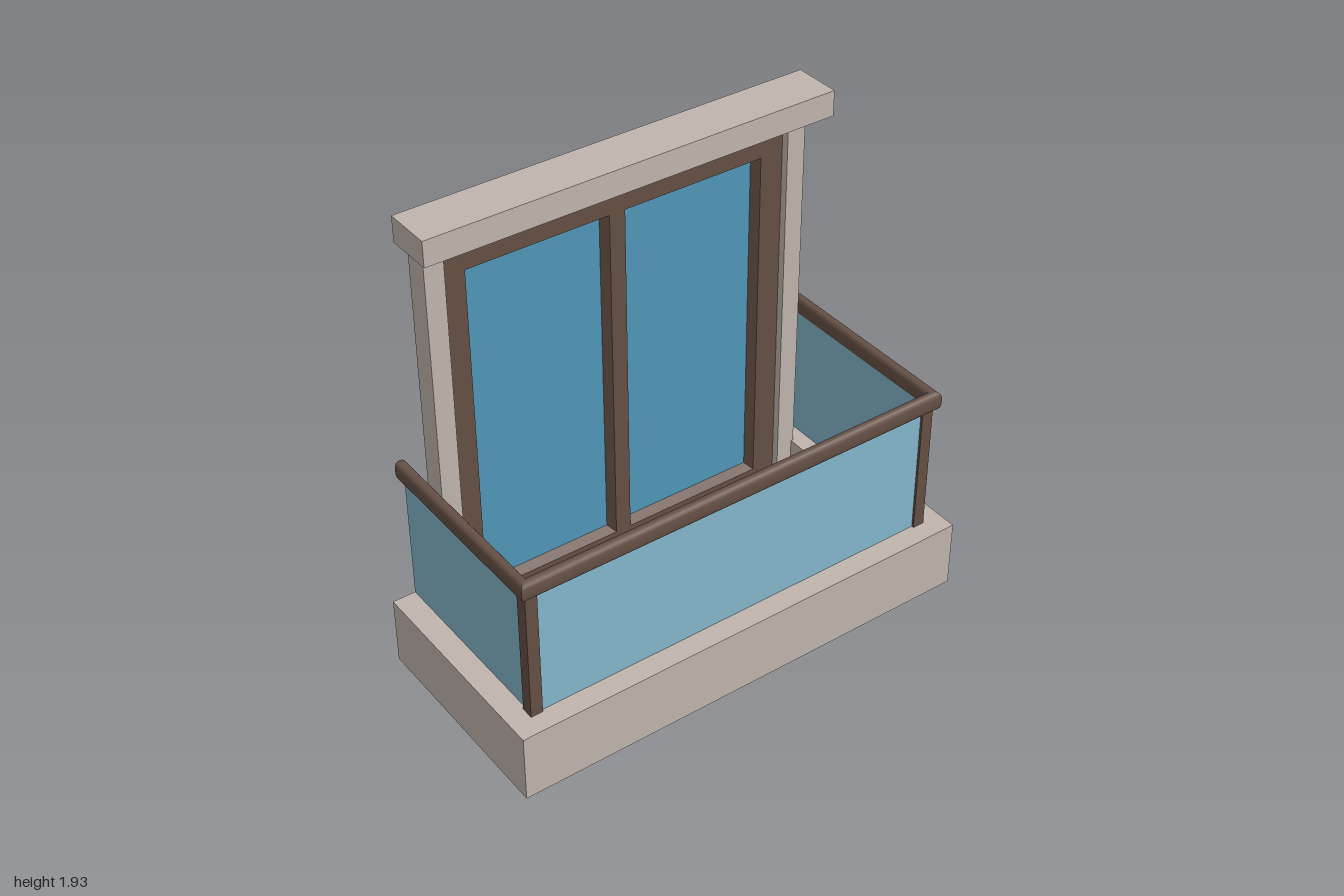
import * as THREE from 'three';

const mat = (name, color) => {
  const m = new THREE.MeshStandardMaterial({ color, side: THREE.DoubleSide });
  m.name = name;
  return m;
};

export function createModel() {
  const stone = mat('warm stone', 0xc0b5ad);
  const wood = mat('dark brown frame', 0x655045);
  const pane = mat('window blue', 0x4f96b7);
  const clear = mat('balustrade pale blue', 0x84b7cb);
  const model = new THREE.Group();
  model.name = 'balcony';

  const add = (name, geometry, material) => {
    const mesh = new THREE.Mesh(geometry, material);
    mesh.name = name;
    model.add(mesh);
    return mesh;
  };

  // Box between two corners; drop lists the open sides (px, nx, py, ny, pz, nz)
  const sides = ['px', 'nx', 'py', 'ny', 'pz', 'nz'];
  const box = (name, material, [x0, y0, z0], [x1, y1, z1], drop = []) => {
    const g = new THREE.BoxGeometry(x1 - x0, y1 - y0, z1 - z0);
    const index = Array.from(g.index.array);
    g.setIndex(index.filter((_, i) => !drop.includes(sides[Math.floor(i / 6)])));
    g.clearGroups();
    g.translate((x0 + x1) / 2, (y0 + y1) / 2, (z0 + z1) / 2);
    return add(name, g, material);
  };

  const outline = (points) => new THREE.Shape(points.map(([x, y]) => new THREE.Vector2(x, y)));
  const rect = (x0, y0, x1, y1) => [[x0, y0], [x1, y0], [x1, y1], [x0, y1]];

  // Skin between two closed rings of points
  const loft = (a, b, smooth) => {
    const n = a.length, index = [];
    for (let i = 0; i < n; i++) {
      const j = (i + 1) % n;
      index.push(i, j, n + j, i, n + j, n + i);
    }
    let g = new THREE.BufferGeometry();
    g.setAttribute('position', new THREE.Float32BufferAttribute([...a, ...b].flat(), 3));
    g.setIndex(index);
    if (!smooth) g = g.toNonIndexed();
    g.computeVertexNormals();
    return g;
  };

  const back = -0.45, floorY = 0.08, slabTop = 0.29;

  // Hollow slab, open to the building, with a sunken floor
  box('slabShell', stone, [-1, 0, back], [1, slabTop, 0.45], ['py', 'nz']);
  const rim = new THREE.ShapeGeometry(outline([
    [-1, 0.45], [-1, -0.45], [1, -0.45], [1, 0.45],
    [0.825, 0.45], [0.825, -0.27], [-0.825, -0.27], [-0.825, 0.45],
  ]));
  rim.rotateX(-Math.PI / 2);
  add('slabRim', rim, stone).position.y = slabTop;
  box('sunkenFloor', stone, [-0.825, floorY, back], [0.825, slabTop, 0.27], ['py', 'nz']);

  // Door surround and its lintel
  const wallFront = -0.35, frameZ = -0.382, glassZ = -0.42;
  box('surroundSides', stone, [-0.81, floorY, back], [0.835, 1.83, wallFront], ['py', 'ny', 'pz', 'nz']);
  add('surroundFace', new THREE.ShapeGeometry(outline([
    [-0.81, floorY], [-0.73, floorY], [-0.73, 1.77], [0.755, 1.77],
    [0.755, floorY], [0.835, floorY], [0.835, 1.83], [-0.81, 1.83],
  ])), stone).position.z = wallFront;
  box('surroundReveal', stone, [-0.73, floorY, frameZ], [0.755, 1.77, wallFront], ['ny', 'pz', 'nz']);
  box('lintel', stone, [-0.86, 1.83, back], [0.885, 1.935, -0.25], ['nz']);

  // Door frame with two bevelled openings and their glass
  const frame = outline(rect(-0.73, floorY, 0.755, 1.77));
  const y0 = 0.2, y1 = 1.667, bevel = 0.02;
  for (const [side, x0, x1] of [['right', -0.632, -0.028], ['left', 0.04, 0.655]]) {
    frame.holes.push(outline(rect(x0, y0, x1, y1)));
    const inner = rect(x0 + bevel, y0 + bevel, x1 - bevel, y1 - bevel);
    add(side + 'DoorBevel', loft(
      rect(x0, y0, x1, y1).map(([x, y]) => [x, y, frameZ]),
      inner.map(([x, y]) => [x, y, glassZ]), false), wood);
    add(side + 'DoorGlass', new THREE.ShapeGeometry(outline(inner)), pane).position.z = glassZ;
  }
  add('doorFrame', new THREE.ShapeGeometry(frame), wood).position.z = frameZ;

  // Handrail: rounded hollow section with mitred corners, open at the wall
  const profile = [];
  for (let i = 0; i < 16; i++) {
    const t = (i / 16) * Math.PI * 2, c = Math.cos(t), s = Math.sin(t);
    profile.push([Math.sign(c) * Math.abs(c) ** 0.7 * 0.023, 0.885 + Math.sign(s) * Math.abs(s) ** 0.7 * 0.04]);
  }
  const railX = 0.915, railZ = 0.368;
  const wallEnd = (s) => profile.map(([o, y]) => [s * (railX + o), y, back]);
  const corner = (s) => profile.map(([o, y]) => [s * (railX + o), y, railZ + o]);
  add('frontHandrail', loft(corner(-1), corner(1), true), wood);

  // Side rails, corner posts and side glass
  for (const [side, s] of [['left', 1], ['right', -1]]) {
    add(side + 'Handrail', loft(wallEnd(s), corner(s), true), wood);
    const [a, b] = [s * 0.865, s * 0.915].sort((p, q) => p - q);
    box(side + 'Post', wood, [a, slabTop, 0.318], [b, 0.86, 0.37]);
    const [c, d] = [s * 0.896, s * 0.904].sort((p, q) => p - q);
    box(side + 'BalustradeGlass', clear, [c, slabTop, back], [d, 0.86, 0.33]);
  }
  box('frontBalustradeGlass', clear, [-0.87, slabTop, 0.352], [0.87, 0.86, 0.36]);

  return model;
}
